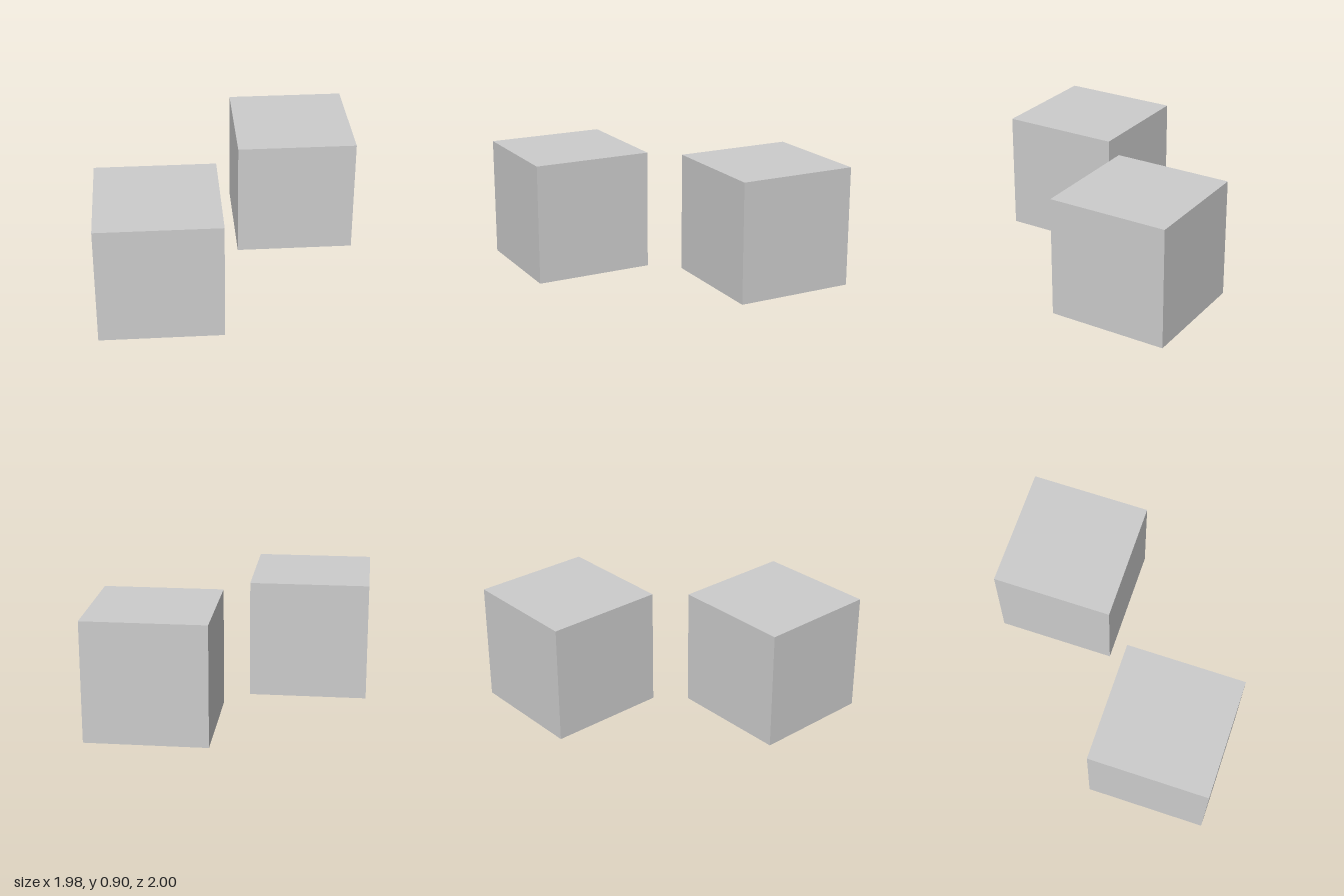
import * as THREE from 'three';

export function createModel() {
  const model = new THREE.Group();
  model.name = 'diagonalCubes';
  const material = new THREE.MeshStandardMaterial({ color: 0xcccccc, flatShading: true });
  const size = 0.9;
  const geometry = new THREE.BoxGeometry(size, size, size);

  // Two equal cubes set diagonally: back left and front right
  for (const [name, side] of [['backLeftCube', 1], ['frontRightCube', -1]]) {
    const cube = new THREE.Mesh(geometry, material);
    cube.name = name;
    cube.position.set(side * 0.54, size / 2, side * -0.55);
    model.add(cube);
  }
  return model;
}
